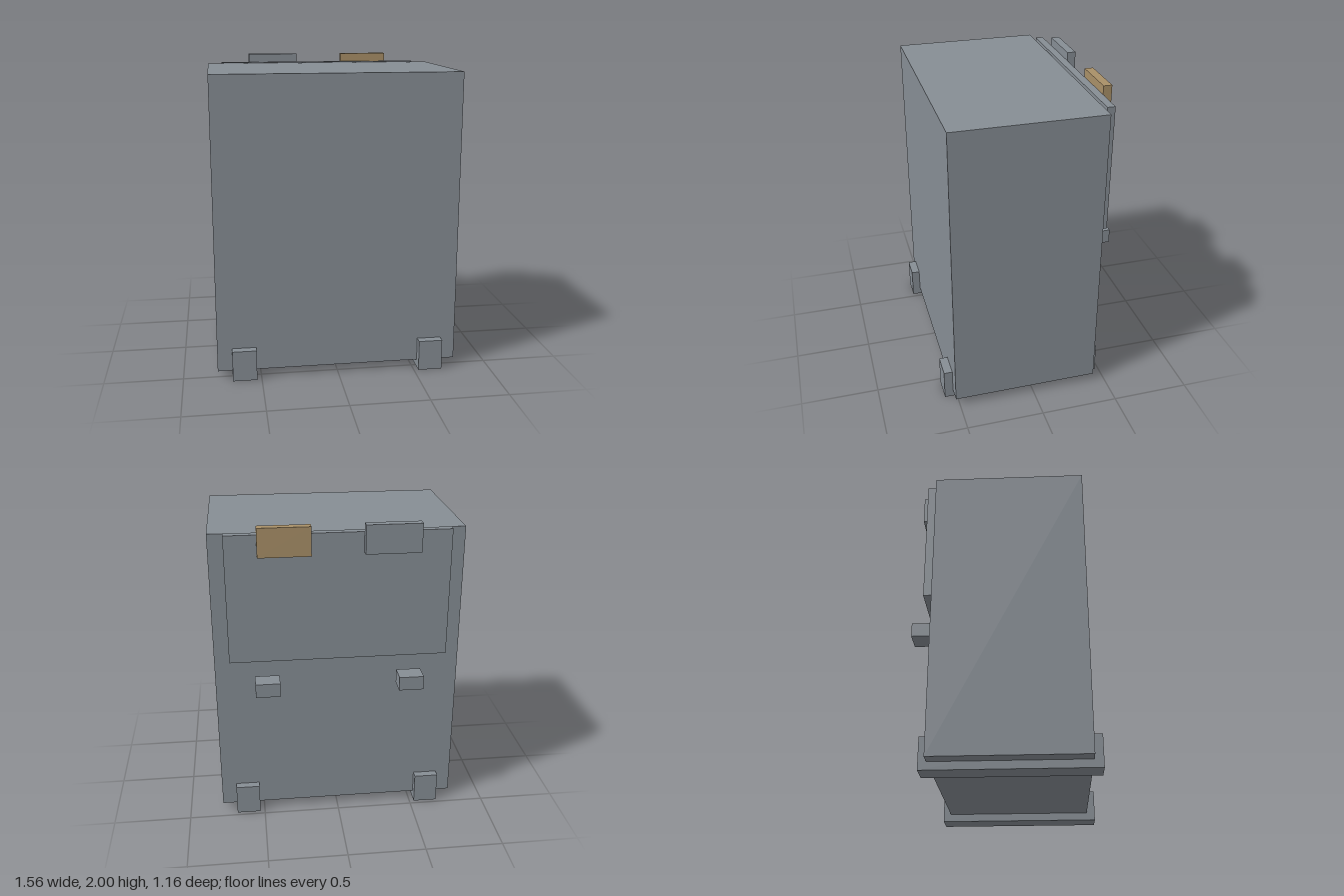
import * as THREE from 'three';

const grey = new THREE.MeshStandardMaterial({ color: 0x868d94 });
grey.name = 'grey';
const tan = new THREE.MeshStandardMaterial({ color: 0xa88f67 });
tan.name = 'tan';

// Box from its minimum and maximum corners
function box(name, material, [x0, y0, z0], [x1, y1, z1]) {
  const mesh = new THREE.Mesh(new THREE.BoxGeometry(x1 - x0, y1 - y0, z1 - z0), material);
  mesh.position.set((x0 + x1) / 2, (y0 + y1) / 2, (z0 + z1) / 2);
  mesh.name = name;
  return mesh;
}

export function createModel() {
  const group = new THREE.Group();
  group.name = 'cabinet';

  group.add(box('body', grey, [-0.78, 0.05, -0.425], [0.78, 1.94, 0.525]));

  // Upper back panel with its two tabs
  group.add(box('backPanel', grey, [-0.685, 1.13, -0.49], [0.685, 1.945, -0.44]));
  group.add(box('rightTab', grey, [-0.49, 1.82, -0.545], [-0.15, 2, -0.49]));
  group.add(box('leftTab', tan, [0.17, 1.82, -0.545], [0.49, 2, -0.49]));

  // Mirrored runners under the body and pegs below the panel
  for (const [side, s] of [['left', 1], ['right', -1]]) {
    const runner = box(side + 'Runner', grey, [0.53, 0, -0.475], [0.685, 0.2, 0.58]);
    const peg = box(side + 'Peg', grey, [0.375, 0.925, -0.58], [0.53, 1.015, -0.46]);
    for (const part of [runner, peg]) {
      part.position.x *= s;
      group.add(part);
    }
  }
  return group;
}
